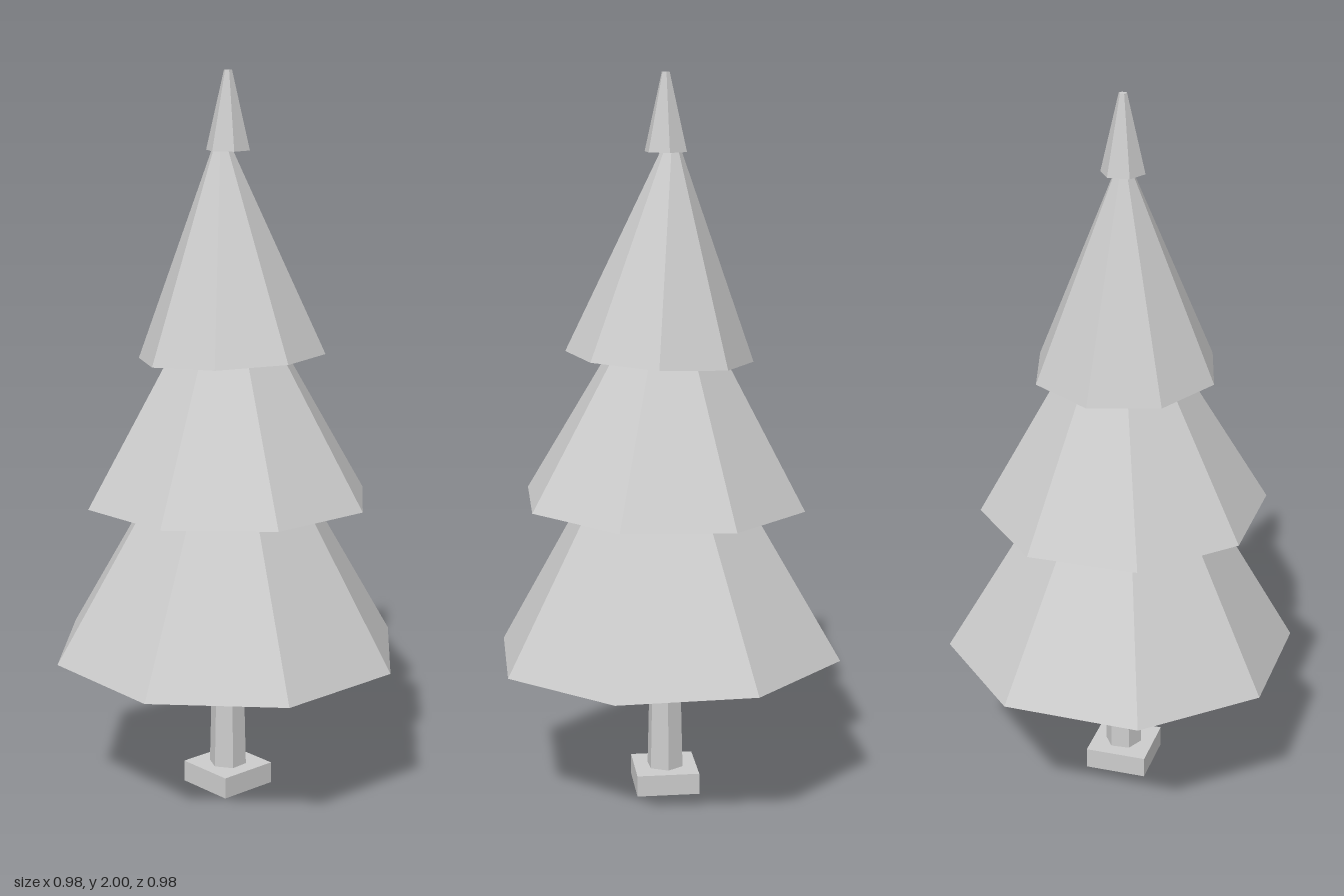
import * as THREE from 'three';

export function createModel() {
  const tree = new THREE.Group();
  tree.name = 'pineTree';
  const grey = new THREE.MeshStandardMaterial({ color: 0xcccccc, flatShading: true });
  grey.name = 'lightGrey';

  // Tapered prism standing on the centre of its base; turn is the angle of its first corner from +z
  function addFrustum({ name, sides, bottom, top, height, base, turn = 0, tiltX = 0, tiltZ = 0 }) {
    const geometry = new THREE.CylinderGeometry(top, bottom, height, sides, 1, false, turn);
    geometry.translate(0, height / 2, 0);
    const mesh = new THREE.Mesh(geometry, grey);
    mesh.name = name;
    mesh.position.set(...base);
    mesh.rotation.set(tiltX, 0, tiltZ);
    tree.add(mesh);
  }

  // Square foot, turned about the trunk
  const foot = new THREE.Mesh(new THREE.BoxGeometry(0.175, 0.06, 0.175), grey);
  foot.name = 'foot';
  foot.position.set(-0.002, 0.03, 0.01);
  foot.rotation.y = 0.455;
  tree.add(foot);

  // Trunk, three slightly tilted branch tiers and the tip
  [
    { name: 'trunk', sides: 6, bottom: 0.053, top: 0.043, height: 0.4, base: [-0.001, 0.05, 0.009] },
    { name: 'lowerTier', sides: 8, bottom: 0.492, top: 0.14, height: 0.6, base: [0, 0.404, 0], turn: 0.055, tiltX: 0.0204 },
    { name: 'middleTier', sides: 8, bottom: 0.4, top: 0.07, height: 0.57, base: [0, 0.837, 0.012], turn: 0.05, tiltX: -0.0215 },
    { name: 'upperTier', sides: 8, bottom: 0.257, top: 0.022, height: 0.57, base: [0.005, 1.237, 0.0225], turn: 0.337, tiltX: -0.05, tiltZ: 0.033 },
    { name: 'tip', sides: 6, bottom: 0.06, top: 0.011, height: 0.21, base: [0, 1.79, 0.006] },
  ].forEach(addFrustum);

  return tree;
}
